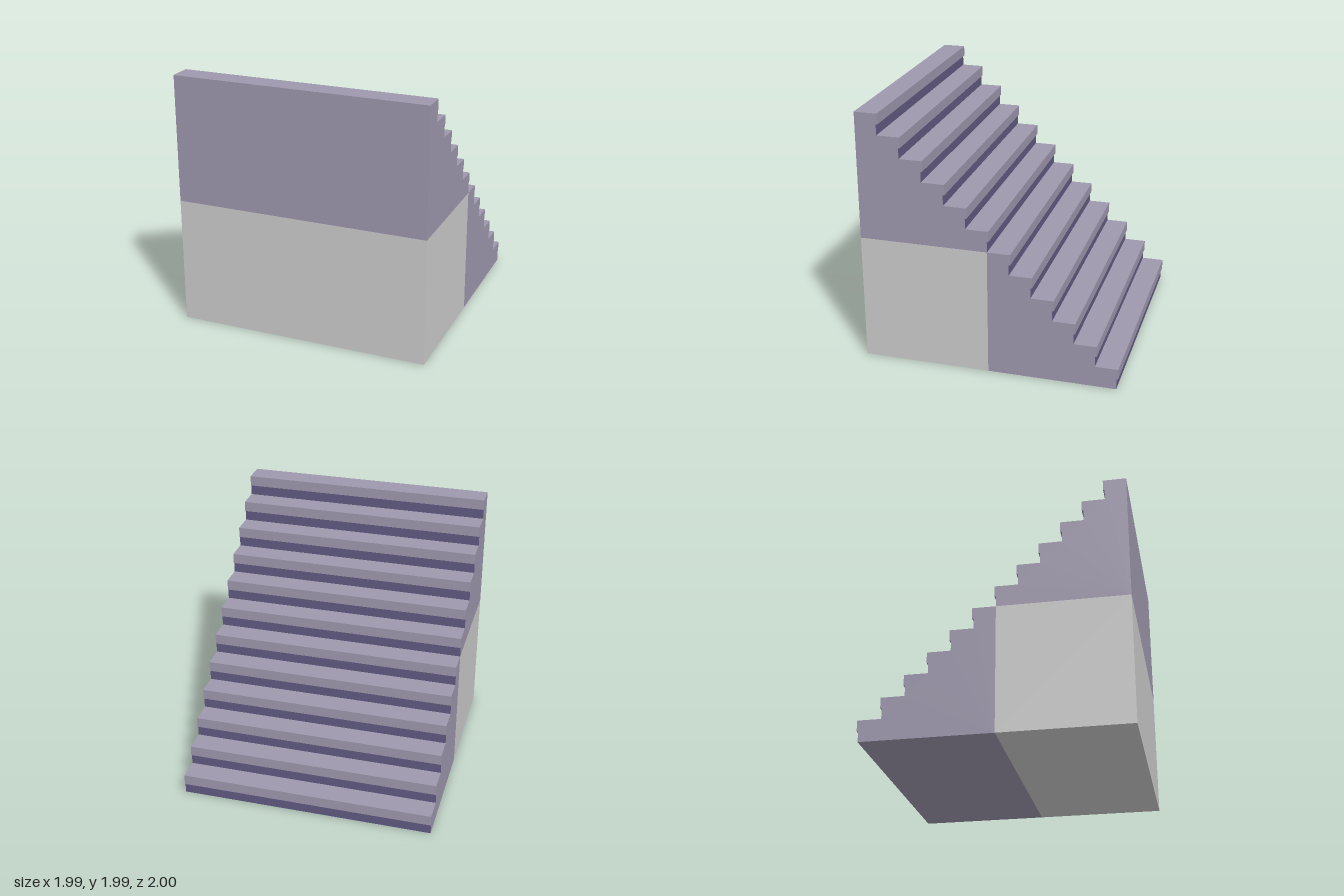
import * as THREE from 'three';

const STEPS = 6;            // steps per flight
const RISE = 0.1657;        // height and depth of one step
const NOSE = 0.012;         // overhang of each tread
const WIDTH = 1.988;
const HALF = STEPS * RISE;  // height and depth of one flight
const FRONT = 1;
const MID = FRONT - HALF;

const plaster = new THREE.MeshStandardMaterial({ color: 0xcccccc });
const stone = new THREE.MeshStandardMaterial({ color: 0x9e98ad });
const dark = new THREE.MeshStandardMaterial({ color: 0x605a80 });

// One flight climbing towards +z from (y0, z0), with overhanging treads
function createFlight(name, y0, z0) {
  const flight = new THREE.Group();
  flight.name = name;

  // Profile in (-z, y), swept across the width
  const pts = [new THREE.Vector2(-HALF, 0), new THREE.Vector2(0, 0)];
  for (let i = 0; i < STEPS; i++) {
    const d = -i * RISE, y = i * RISE;
    if (i > 0) pts.push(new THREE.Vector2(d, y));
    pts.push(
      new THREE.Vector2(d, y + RISE / 2),
      new THREE.Vector2(d + NOSE, y + RISE / 2),
      new THREE.Vector2(d + NOSE, y + RISE),
      new THREE.Vector2(i < STEPS - 1 ? d - RISE : -HALF, y + RISE)
    );
    if (i < STEPS - 1) pts.pop(); // the next riser supplies this corner
  }
  const geo = new THREE.ExtrudeGeometry(new THREE.Shape(pts), { depth: WIDTH, bevelEnabled: false });
  geo.translate(0, 0, -WIDTH / 2).rotateY(Math.PI / 2);
  const body = new THREE.Mesh(geo, stone);
  body.name = 'steps';
  flight.add(body);

  // Dark riser faces under each nosing
  const riserGeo = new THREE.PlaneGeometry(WIDTH, RISE / 2).rotateY(Math.PI);
  for (let i = 0; i < STEPS; i++) {
    const riser = new THREE.Mesh(riserGeo, dark);
    riser.name = 'riser';
    riser.position.set(0, (i + 0.25) * RISE, i * RISE - 0.001);
    flight.add(riser);
  }
  flight.position.set(0, y0, z0);
  return flight;
}

export function createModel() {
  const model = new THREE.Group();
  model.name = 'staircase';
  model.add(createFlight('lowerFlight', 0, MID - HALF));
  model.add(createFlight('upperFlight', HALF, MID));

  // Solid block carrying the upper flight
  const base = new THREE.Mesh(new THREE.BoxGeometry(WIDTH, HALF, HALF), plaster);
  base.name = 'supportBlock';
  base.position.set(0, HALF / 2, MID + HALF / 2);
  model.add(base);
  return model;
}
